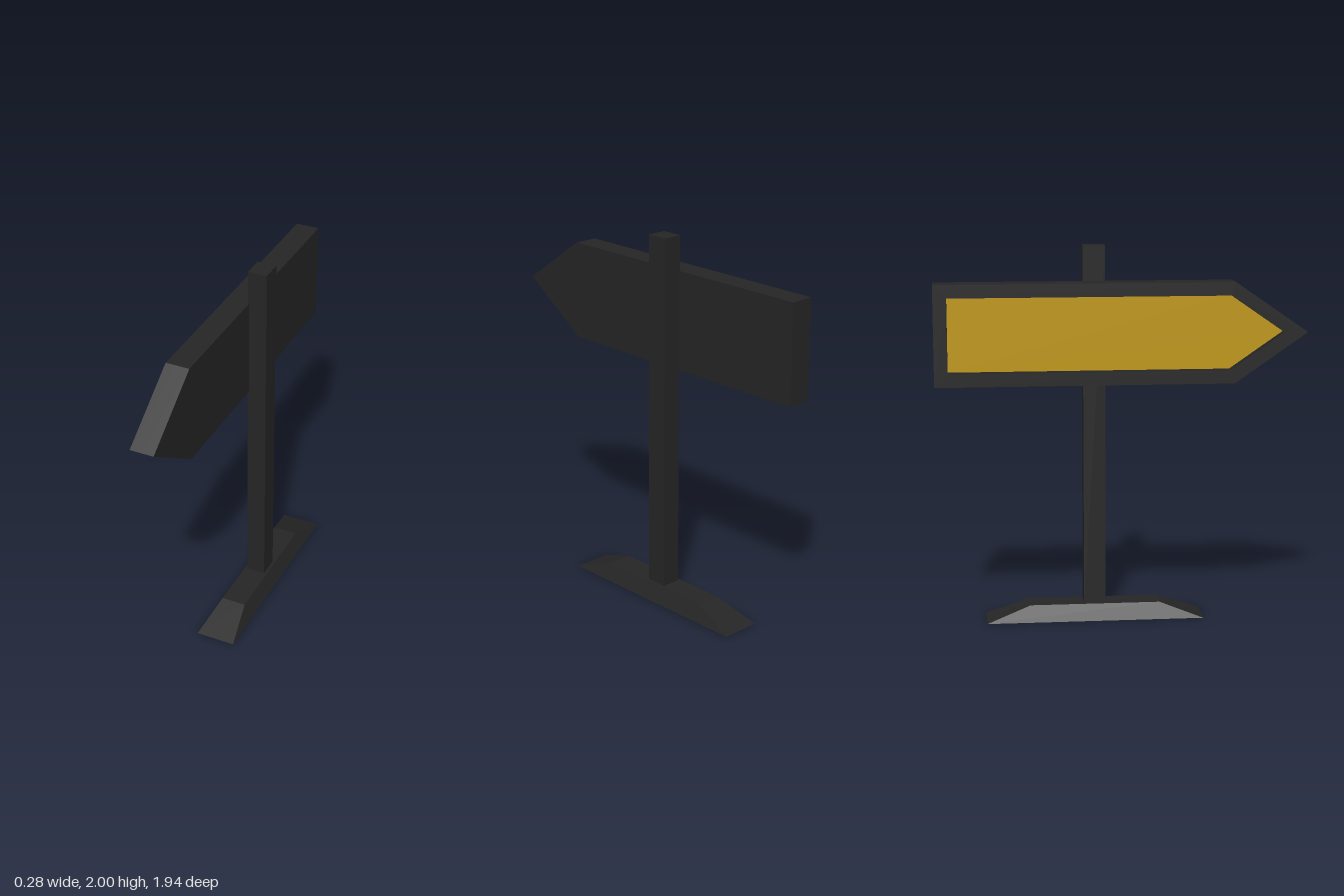
import * as THREE from 'three';

const dark = new THREE.MeshStandardMaterial({ color: 0x252525 });
dark.name = 'charcoal';
const amber = new THREE.MeshStandardMaterial({ color: 0xbf960f });
amber.name = 'amber';

// Arrow outline in the (z, y) plane, inset evenly by b from the board's edge
function arrowPoints(b) {
  const back = -0.967, shoulder = 0.59, tip = 0.972, bottom = 1.288, top = 1.817;
  const mid = (bottom + top) / 2, rise = (top - bottom) / 2, run = tip - shoulder;
  const slope = Math.hypot(run, rise);
  const s = shoulder - b * (slope - run) / rise;
  return [
    [back + b, bottom + b], [s, bottom + b], [tip - b * slope / rise, mid],
    [s, top - b], [back + b, top - b],
  ].map(([z, y]) => new THREE.Vector2(z, y));
}

// Turns a (z, y) drawing so that its face looks along -x
function add(group, name, geometry, material, x) {
  geometry.rotateY(-Math.PI / 2);
  const mesh = new THREE.Mesh(geometry, material);
  mesh.name = name;
  mesh.position.x = x;
  group.add(mesh);
}

export function createModel() {
  const model = new THREE.Group();
  model.name = 'arrowSignpost';

  // Base: a box whose top is drawn in on all four sides
  const baseGeo = new THREE.BoxGeometry(1, 1, 1).toNonIndexed();
  const p = baseGeo.attributes.position;
  for (let i = 0; i < p.count; i++) {
    const up = p.getY(i) > 0;
    const hx = up ? 0.067 : 0.107, hz = up ? 0.347 : 0.58;
    p.setXYZ(i, 0.032 + Math.sign(p.getX(i)) * hx, up ? 0.085 : 0, -0.134 + Math.sign(p.getZ(i)) * hz);
  }
  baseGeo.computeVertexNormals();
  const base = new THREE.Mesh(baseGeo, dark);
  base.name = 'base';
  model.add(base);

  // Post
  const post = new THREE.Mesh(new THREE.BoxGeometry(0.103, 1.93, 0.116), dark);
  post.name = 'post';
  post.position.set(0.032, 1.035, -0.135);
  model.add(post);

  // Arrow board: solid back, raised rim and a sunken coloured panel
  const sign = new THREE.Group();
  sign.name = 'arrowSign';
  const outline = () => new THREE.Shape(arrowPoints(0));
  add(sign, 'backBoard', new THREE.ExtrudeGeometry(outline(), { depth: 0.067, bevelEnabled: false }), dark, -0.013);
  const rim = outline();
  rim.holes.push(new THREE.Path(arrowPoints(0.07)));
  add(sign, 'rim', new THREE.ExtrudeGeometry(rim, { depth: 0.06, bevelEnabled: false }), dark, -0.08);
  add(sign, 'arrowPanel', new THREE.ShapeGeometry(new THREE.Shape(arrowPoints(0.07))), amber, -0.082);
  model.add(sign);

  return model;
}
